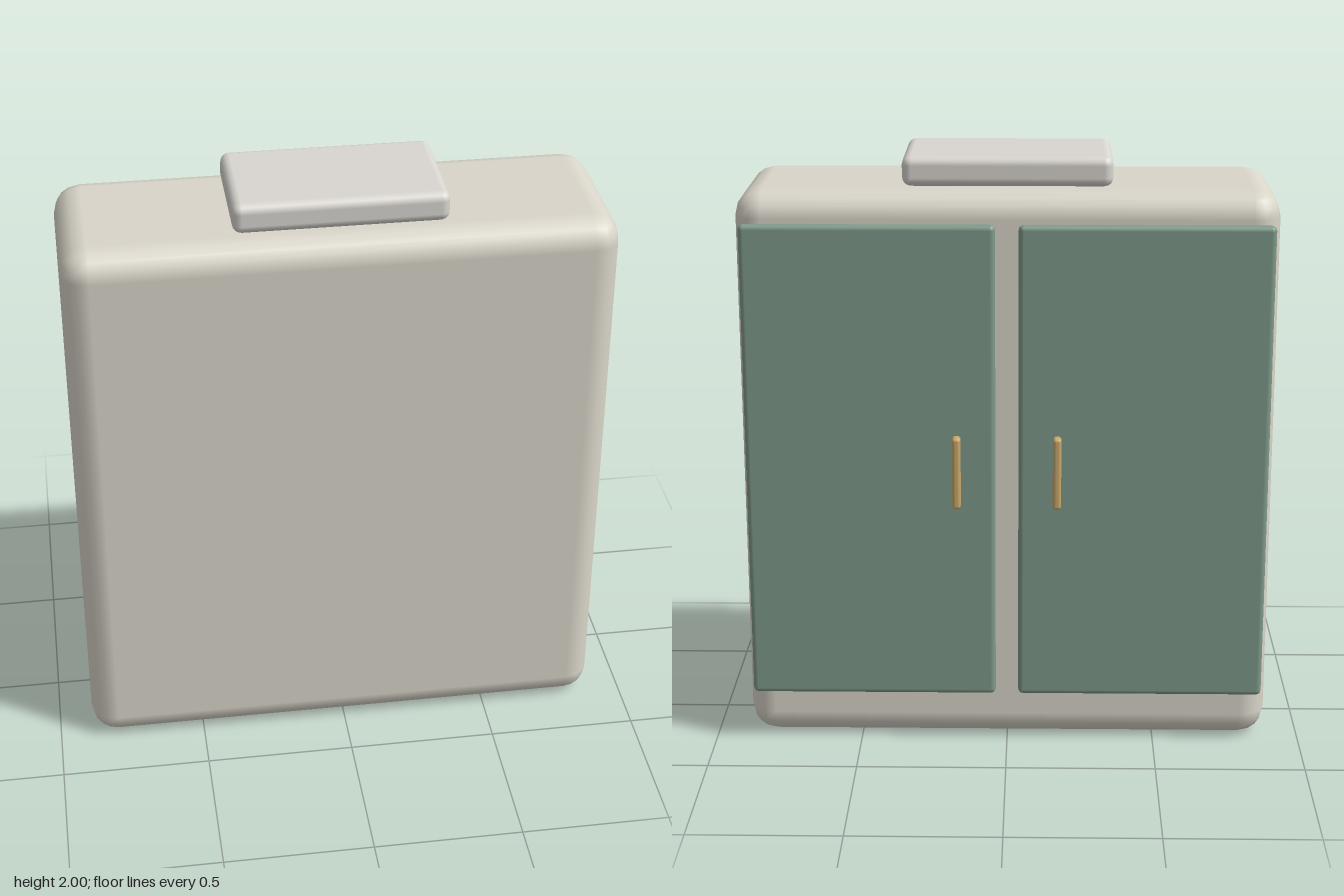
import * as THREE from 'three';
import { RoundedBoxGeometry } from 'three/addons/geometries/RoundedBoxGeometry.js';

// Rounded box given by its min and max corners
function roundedPart(name, color, min, max, radius) {
  const [w, h, d] = max.map((v, i) => v - min[i]);
  const mesh = new THREE.Mesh(
    new RoundedBoxGeometry(w, h, d, 2, radius),
    new THREE.MeshStandardMaterial({ color })
  );
  mesh.name = name;
  mesh.position.set(...max.map((v, i) => (v + min[i]) / 2));
  return mesh;
}

export function createModel() {
  const group = new THREE.Group();
  group.name = 'cabinet';

  // Body and the slab resting on top
  group.add(roundedPart('body', 0xd9d5c9, [-0.887, 0, -0.255], [0.887, 1.9, 0.335], 0.09));
  group.add(roundedPart('topSlab', 0xd9d6d0, [-0.344, 1.9, -0.165], [0.344, 2, 0.247], 0.03));

  // A pair of doors with upright handles on the -z side
  for (const [side, s] of [['left', 1], ['right', -1]]) {
    const door = roundedPart(side + 'Door', 0x7f9a8a, [-0.414, 0.177, -0.295], [0.414, 1.8, -0.258], 0.017);
    door.position.x = s * 0.452;
    const handle = roundedPart(side + 'Handle', 0xc9a96b, [-0.014, 0.855, -0.338], [0.014, 1.1, -0.293], 0.011);
    handle.position.x = s * 0.166;
    group.add(door, handle);
  }
  return group;
}
